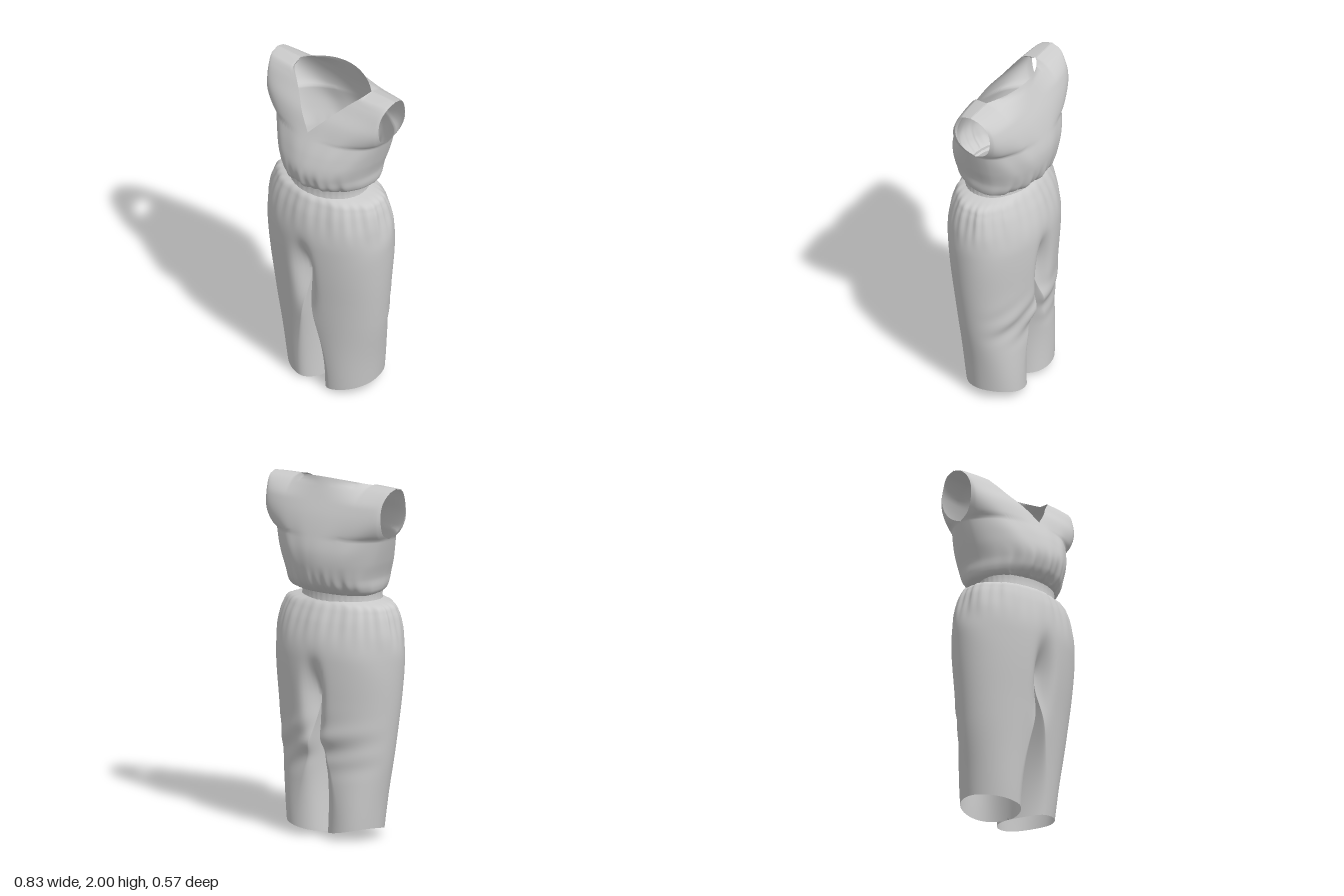
import * as THREE from 'three';
import { mergeGeometries, mergeVertices } from 'three/addons/utils/BufferGeometryUtils.js';

const { smoothstep, lerp, clamp } = THREE.MathUtils;
const cloth = new THREE.MeshStandardMaterial({ color: 0xcccccc, side: THREE.DoubleSide });

// Smooth curve through [height, value] pairs
function profile(pts) {
  const slope = (i) => {
    const a = pts[Math.max(i - 1, 0)], b = pts[Math.min(i + 1, pts.length - 1)];
    return (b[1] - a[1]) / (b[0] - a[0]);
  };
  return (y) => {
    y = clamp(y, pts[0][0], pts[pts.length - 1][0]);
    let i = 0;
    while (i < pts.length - 2 && y > pts[i + 1][0]) i++;
    const [y0, v0] = pts[i], [y1, v1] = pts[i + 1];
    const h = y1 - y0, t = (y - y0) / h, t2 = t * t, t3 = t2 * t;
    return (2 * t3 - 3 * t2 + 1) * v0 + (t3 - 2 * t2 + t) * h * slope(i)
      + (3 * t2 - 2 * t3) * v1 + (t3 - t2) * h * slope(i + 1);
  };
}

// Surface grid from fn(u, v) -> [x, y, z]
function grid(nu, nv, fn, flip = false) {
  const pos = [], index = [];
  for (let j = 0; j <= nv; j++)
    for (let i = 0; i <= nu; i++) pos.push(...fn(i / nu, j / nv));
  for (let j = 0; j < nv; j++)
    for (let i = 0; i < nu; i++) {
      const a = j * (nu + 1) + i, b = a + 1, c = a + nu + 1, d = c + 1;
      if (flip) index.push(a, c, b, b, c, d);
      else index.push(a, b, c, b, d, c);
    }
  const g = new THREE.BufferGeometry();
  g.setAttribute('position', new THREE.Float32BufferAttribute(pos, 3));
  g.setIndex(index);
  return g;
}

// Weld panels into one smooth cloth mesh
function sew(name, panels) {
  const g = mergeVertices(mergeGeometries(panels), 1e-4);
  g.computeVertexNormals();
  const mesh = new THREE.Mesh(g, cloth);
  mesh.name = name;
  return mesh;
}

const bump = (v, centre, width) => Math.exp(-(((v - centre) / width) ** 2));

// ---- Bodice: front and back panels sharing side seams and shoulders ----
const bodiceWidth = profile([[1.355, 0.235], [1.37, 0.27], [1.4, 0.285], [1.46, 0.292], [1.55, 0.322],
  [1.66, 0.356], [1.77, 0.386], [1.9, 0.396], [1.97, 0.414], [2, 0.414]]);
const bodiceFront = profile([[1.355, 0.19], [1.37, 0.22], [1.42, 0.262], [1.5, 0.282], [1.6, 0.257], [1.71, 0.205],
  [1.8, 0.16], [1.87, 0.105], [1.93, 0.06], [1.962, 0.025], [1.97, -0.045]]);
const bodiceBack = profile([[1.355, -0.155], [1.37, -0.19], [1.42, -0.245], [1.5, -0.275], [1.6, -0.283],
  [1.7, -0.262], [1.8, -0.23], [1.9, -0.185], [1.97, -0.152], [2, -0.14]]);
const SEAM_Z = -0.04;

function bodicePanel(front) {
  return grid(96, 60, (u, v) => {
    const s = u * 2 - 1, as = Math.abs(s), nx = as * 0.408;
    const top = front ? Math.min(1.97, 1.715 + nx * 1.04) : Math.max(1.97, 2 - 0.03 * (nx / 0.245) ** 2);
    const y = lerp(1.355, top, v ** 1.3);
    // Egg-shaped armhole, narrower at the bottom
    const armhole = 0.112 * Math.sqrt(Math.max(0, 1 - ((y - 1.83) / 0.14) ** 2));
    const round = Math.sqrt(1 - as * as);
    const x = s * bodiceWidth(y);
    let z;
    if (front) {
      const edge = Math.min(SEAM_Z + armhole, bodiceFront(y));
      z = edge + (bodiceFront(y) - edge) * round;
    } else {
      const neck = Math.max(0, 1 - (as / 0.6) ** 2);
      const edge = SEAM_Z - armhole;
      z = edge + (bodiceBack(y) - edge) * lerp(round, neck, smoothstep(y, 1.87, 1.97));
    }
    // Gathers above the waist and soft slanting folds
    const dir = front ? 1 : -1, inset = Math.sqrt(1 - as ** 4);
    const gather = (1 - smoothstep(y, 1.38, 1.54)) * smoothstep(y, 1.355, 1.38);
    const ripple = Math.sin(s * 34 + 0.7 * dir) * 0.005 + Math.sin(s * 15 + 1) * 0.006;
    const folds = Math.sin(as * 13 - y * 11 + s * 2) * 0.006 * bump(y, 1.6, 0.12) * as;
    return [x, y, z + dir * inset * (gather * ripple + folds)];
  }, !front);
}

// ---- Trousers: half of the hips plus one closed leg per side ----
const CROTCH = 0.8;
const hipWidth = profile([[0, 0.285], [0.2, 0.308], [0.5, 0.347], [0.8, 0.38], [1, 0.393], [1.12, 0.386],
  [1.2, 0.37], [1.26, 0.35], [1.3, 0.318], [1.32, 0.235]]);
const hipFront = profile([[0, 0.148], [0.3, 0.18], [0.6, 0.222], [0.8, 0.25], [1, 0.268], [1.1, 0.267],
  [1.2, 0.252], [1.27, 0.23], [1.3, 0.214], [1.32, 0.185]]);
const hipBack = profile([[0, 0.205], [0.3, 0.206], [0.45, 0.208], [0.55, 0.232], [0.8, 0.256], [1, 0.264],
  [1.1, 0.254], [1.2, 0.226], [1.27, 0.194], [1.3, 0.175], [1.32, 0.155]]);

function trouserPoint(side, a, y) {
  const c = Math.cos(a), s = Math.sin(a), w = hipWidth(y);
  const below = 1 - smoothstep(y, 0, CROTCH);
  // Ridge lines run from the body centre into each leg, close to the inseam in front
  const mid = w * lerp(0.5, 0.38, (s + 1) / 2) * below;
  const gap = Math.min(mid, (0.021 + side * 0.006) * Math.sin(Math.PI * Math.min(y / CROTCH, 1)));
  let x = mid + (c > 0 ? w - mid : mid - gap) * c;
  let z = (s > 0 ? hipFront(y) : hipBack(y)) * s - 0.035 * c * c * below;
  // Groove between the legs
  const groove = y > CROTCH ? (1 - smoothstep(y, CROTCH, 1.15)) ** 2 : smoothstep(y, 0.45, CROTCH);
  z *= 1 - 0.35 * groove * bump(x, 0, 0.05);
  // Waist gathers and drape folds at the hip
  const gather = smoothstep(y, 1.04, 1.24) * (1 - smoothstep(y, 1.295, 1.32));
  const swell = 1 + gather * (0.011 * Math.cos(a * 30) + 0.014 * Math.cos(a * 10 + Math.PI))
    + 0.008 * Math.sin(a * 6 + y * 14) * bump(y, 1.1, 0.12) * Math.abs(c);
  // Slanting creases behind the knee
  const knee = Math.max(-s, 0) * 0.009 * Math.sin(y * 36 + x * side * 18 + x * 10) * bump(y, 0.52, 0.11);
  x *= swell;
  z = z * swell - knee;
  // Hem climbs towards the outer side and the back
  const hem = 0.055 * (Math.max(x, 0) / 0.29) ** 1.3 + 0.025 * smoothstep(-z, -0.1, 0.2);
  return [side * (Math.abs(x) < 1e-5 ? 0 : x), y + hem * (1 - smoothstep(y, 0, 0.5)), z];
}

function trouserHalf(side) {
  const flip = side > 0;
  const hips = grid(72, 44, (u, v) =>
    trouserPoint(side, (u - 0.5) * Math.PI, lerp(1.32, CROTCH, v ** 1.4)), !flip);
  const leg = grid(144, 50, (u, v) =>
    trouserPoint(side, (u * 2 - 0.5) * Math.PI, lerp(CROTCH, 0, v)), !flip);
  return [hips, leg];
}

// ---- Waistband: elastic strip with fine ribbing ----
function waistband() {
  return grid(160, 8, (u, v) => {
    const a = u * Math.PI * 2, y = lerp(1.3, 1.375, v);
    const r = 1 + 0.004 * Math.cos(a * 40) - 0.015 * Math.sin(Math.PI * v);
    return [0.24 * r * Math.sin(a), y, 0.02 + 0.182 * r * Math.cos(a)];
  });
}

export function createModel() {
  const model = new THREE.Group();
  model.name = 'jumpsuit';
  model.add(
    sew('bodice', [bodicePanel(true), bodicePanel(false)]),
    sew('waistband', [waistband()]),
    sew('trousers', [...trouserHalf(1), ...trouserHalf(-1)]),
  );
  return model;
}
